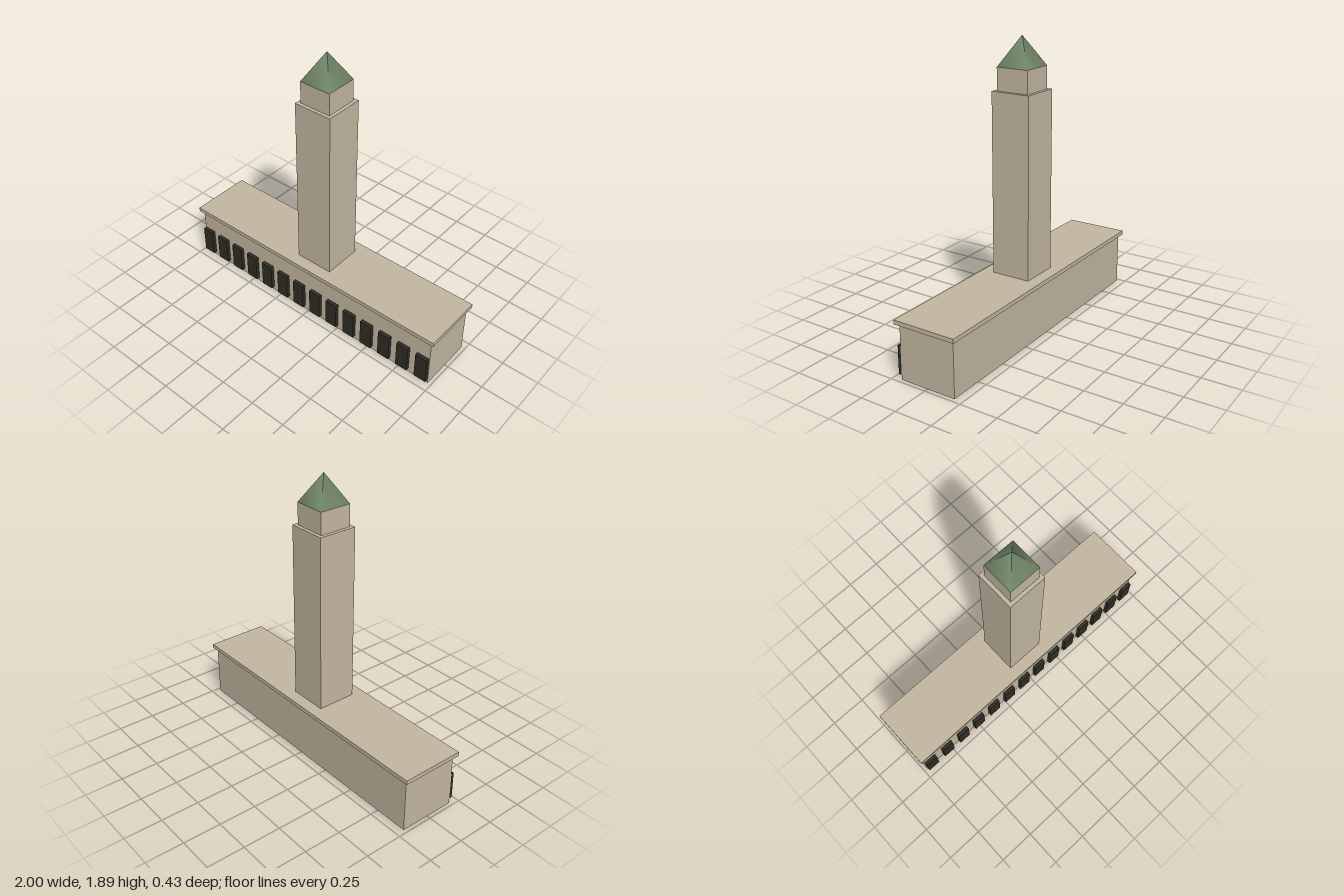
import * as THREE from 'three';

export function createModel() {
  const model = new THREE.Group();
  model.name = 'towerHall';
  const material = (name, color) => {
    const m = new THREE.MeshStandardMaterial({ color });
    m.name = name;
    return m;
  };
  const stone = material('sandstone', 0xc2b6a0);
  const dark = material('darkOpening', 0x2e2d23);
  const copper = material('greenCopper', 0x6f8466);
  const axisZ = -0.002;

  // Box standing on height y
  const box = (name, w, h, d, x, y, z, mat) => {
    const mesh = new THREE.Mesh(new THREE.BoxGeometry(w, h, d), mat);
    mesh.name = name;
    mesh.position.set(x, y + h / 2, z);
    model.add(mesh);
  };

  // Long hall with overhanging roof slab
  box('hall', 1.95, 0.36, 0.384, 0, 0, axisZ, stone);
  box('roofSlab', 2, 0.028, 0.426, 0, 0.36, axisZ, stone);

  // Row of openings along the front
  const count = 14;
  for (let i = 0; i < count; i++) {
    const x = (i - (count - 1) / 2) * 0.1427;
    box('frontOpening' + (i + 1), 0.086, 0.187, 0.05, x, 0.028, 0.19, dark);
  }

  // Tower shaft and belfry
  box('towerShaft', 0.264, 1.175, 0.264, 0, 0.388, axisZ, stone);
  box('belfry', 0.218, 0.144, 0.218, 0, 1.563, axisZ, stone);

  // Four-sided spire with smooth normals
  const spire = new THREE.Mesh(new THREE.ConeGeometry(0.109 * Math.SQRT2, 0.187, 4), copper);
  spire.name = 'spire';
  spire.rotation.y = Math.PI / 4;
  spire.position.set(0, 1.707 + 0.187 / 2, axisZ);
  model.add(spire);

  return model;
}
